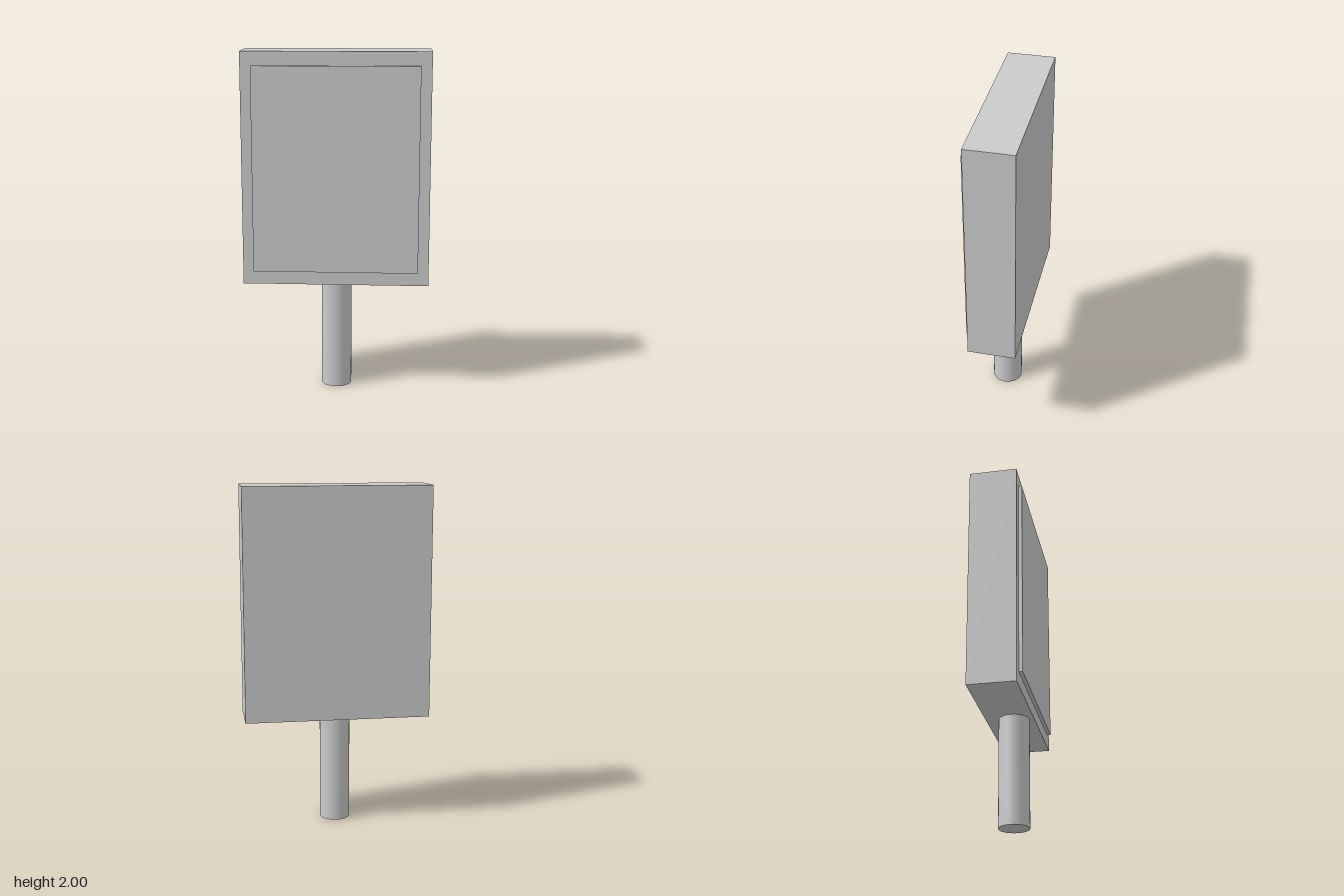
import * as THREE from 'three';

export function createModel() {
  const group = new THREE.Group();
  const material = new THREE.MeshStandardMaterial({ color: 0xcccccc });

  const add = (name, geometry, x, y, z) => {
    const mesh = new THREE.Mesh(geometry, material);
    mesh.name = name;
    mesh.position.set(x, y, z);
    group.add(mesh);
  };

  const bottom = 0.645, top = 2; // height range of the sign box
  const back = -0.15, face = 0.128, panelFace = 0.149; // depth planes

  // Sign box
  add('signBox', new THREE.BoxGeometry(1.085, top - bottom, face - back),
    0, (top + bottom) / 2, (face + back) / 2);

  // Raised panel on the front face
  add('frontPanel', new THREE.BoxGeometry(0.96, 1.195, panelFace - face),
    0, (top + bottom) / 2, (face + panelFace) / 2);

  // Round post below the box
  add('post', new THREE.CylinderGeometry(0.089, 0.089, bottom, 32),
    0, bottom / 2, 0.011);

  return group;
}
